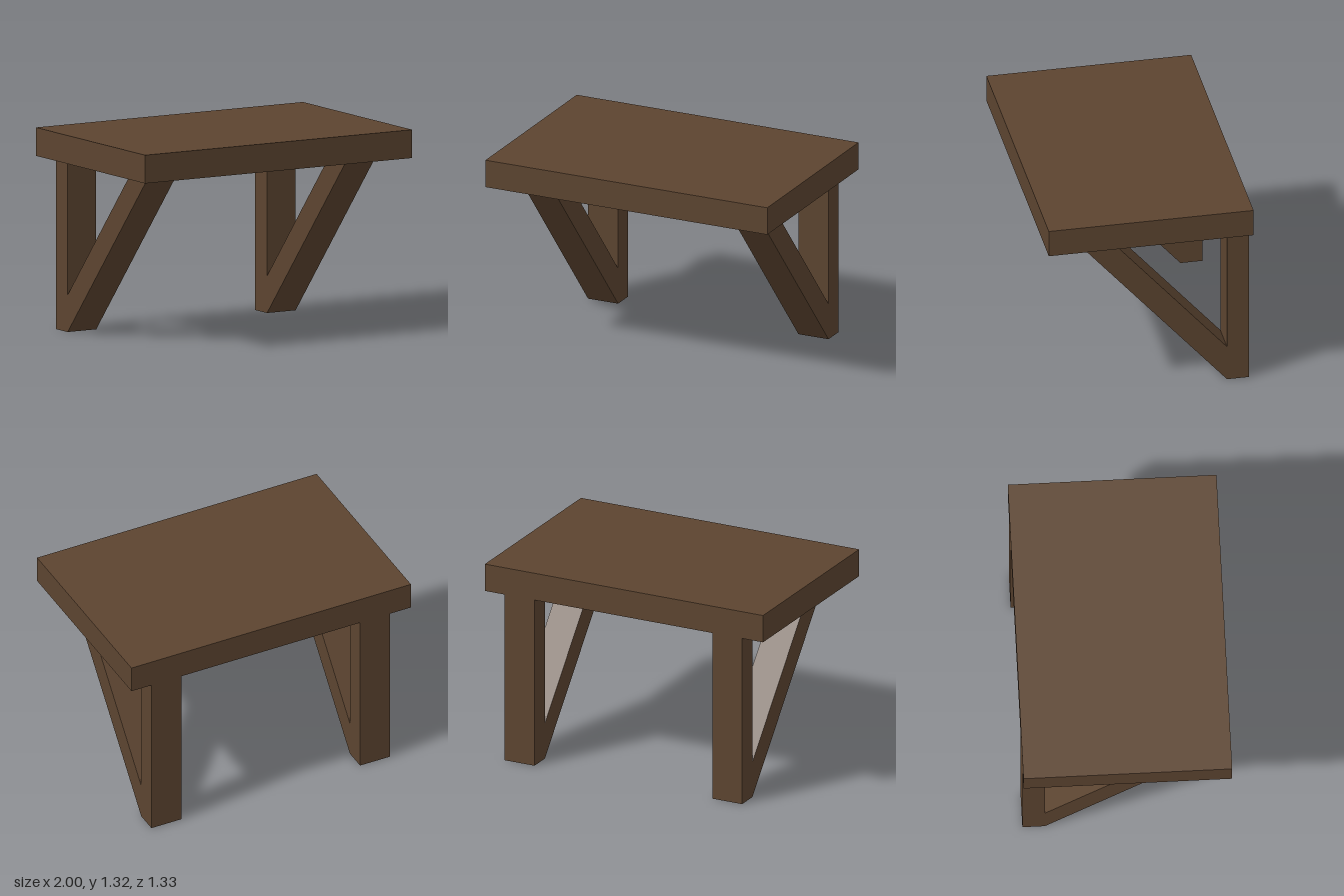
import * as THREE from 'three';

export function createModel() {
  const model = new THREE.Group();
  model.name = 'bracketShelf';
  const wood = new THREE.MeshStandardMaterial({ color: 0x5c4430 });
  wood.name = 'dark brown wood';

  const add = (name, geometry, x, y, z) => {
    const mesh = new THREE.Mesh(geometry, wood);
    mesh.name = name;
    mesh.position.set(x, y, z);
    model.add(mesh);
  };

  const underside = 1.132, top = 1.315, halfDepth = 0.667;
  const legWidth = 0.214, legDepth = 0.144;

  // Thick slab top
  add('tabletop', new THREE.BoxGeometry(2, top - underside, halfDepth * 2), 0, (top + underside) / 2, 0);

  // Upright post, flush with the back edge
  const post = new THREE.BoxGeometry(legWidth, underside, legDepth);

  // Diagonal brace, drawn in the z-y plane and extruded across x
  const legFront = -halfDepth + legDepth;
  const profile = new THREE.Shape([
    new THREE.Vector2(legFront, 0),
    new THREE.Vector2(0.463, underside),
    new THREE.Vector2(0.252, underside),
    new THREE.Vector2(legFront, 0.24),
  ]);
  const brace = new THREE.ExtrudeGeometry(profile, { depth: legWidth, bevelEnabled: false });
  brace.translate(0, 0, -legWidth / 2);
  brace.rotateY(-Math.PI / 2);

  // One post and brace on each side
  for (const [side, x] of [['left', 0.75], ['right', -0.743]]) {
    add(side + 'Post', post, x, underside / 2, -halfDepth + legDepth / 2);
    add(side + 'Brace', brace, x, 0, 0);
  }
  return model;
}
